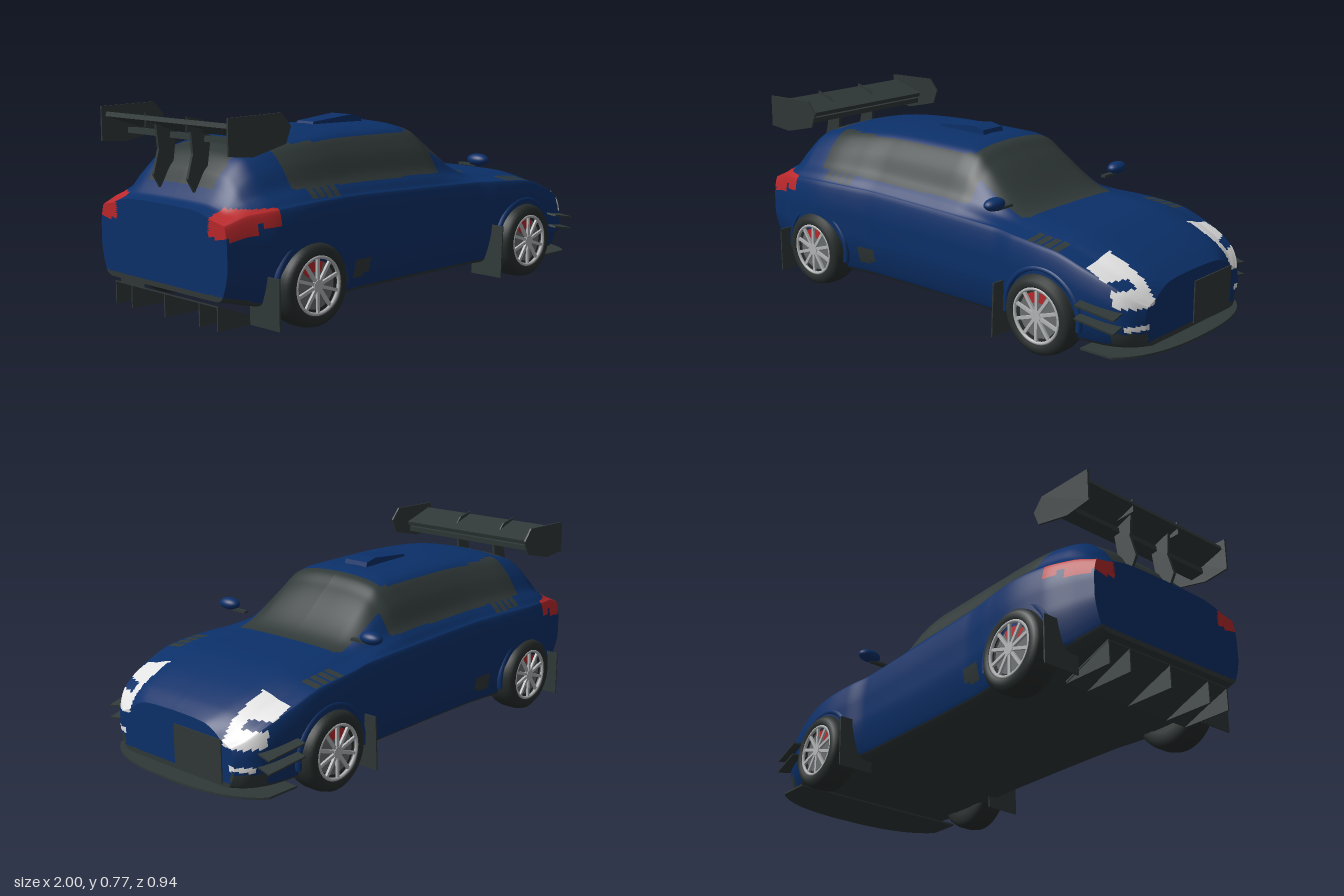
import * as THREE from 'three';

const mat = (name, color, side = THREE.FrontSide) => {
  const m = new THREE.MeshStandardMaterial({ color, side });
  m.name = name;
  return m;
};

// Smooth monotone interpolation through [x, value] pairs
function curve(pts) {
  const n = pts.length, d = [];
  for (let i = 0; i < n - 1; i++) d.push((pts[i + 1][1] - pts[i][1]) / (pts[i + 1][0] - pts[i][0]));
  const m = pts.map((_, i) => {
    if (i === 0) return d[0];
    if (i === n - 1) return d[n - 2];
    return d[i - 1] * d[i] <= 0 ? 0 : (2 * d[i - 1] * d[i]) / (d[i - 1] + d[i]);
  });
  return x => {
    let i = 0;
    while (i < n - 2 && x > pts[i + 1][0]) i++;
    const h = pts[i + 1][0] - pts[i][0], t = (x - pts[i][0]) / h, t2 = t * t, t3 = t2 * t;
    return (2 * t3 - 3 * t2 + 1) * pts[i][1] + (t3 - 2 * t2 + t) * h * m[i]
      + (3 * t2 - 2 * t3) * pts[i + 1][1] + (t3 - t2) * h * m[i + 1];
  };
}
const indexed = a => curve(a.map((v, i) => [i, v]));

// Body curves along the length: half width, underside, beltline and centre top
const width = curve([[-1, .37], [-.92, .39], [-.8, .425], [-.65, .438], [-.5, .425], [-.35, .408], [0, .402],
  [.3, .402], [.42, .42], [.57, .43], [.7, .425], [.8, .41], [.88, .385], [.92, .355], [.95, .31]]);
const under = curve([[-1, .13], [-.8, .088], [-.6, .078], [.8, .075], [.95, .085]]);
const belt = curve([[-1, .40], [-.9, .43], [-.6, .45], [0, .435], [.4, .42], [.6, .405], [.75, .36], [.88, .3], [.95, .24]]);
const top = curve([[-1, .44], [-.95, .452], [-.915, .5], [-.88, .56], [-.8, .625], [-.6, .662], [-.3, .68], [0, .678],
  [.08, .664], [.14, .62], [.37, .458], [.45, .452], [.6, .44], [.75, .402], [.88, .35], [.95, .31]]);
// Normalised half section, from bottom centre to top centre
const secZ = indexed([0, .8, .9, .95, 1, 1, .95, .88, .8, .68, .51, .25, 0]);
const secLow = indexed([0, 0, .03, .15, .45, .7, 1, 1, 1, 1, 1, 1, 1]);
const secUp = indexed([0, 0, 0, 0, 0, 0, 0, .12, .26, .62, .9, .98, 1]);

function bodyPoint(x, v) {
  const a = Math.abs(v) * 12, b = under(x), s = belt(x);
  return [x, b + secLow(a) * (s - b) + secUp(a) * (top(x) - s), Math.sign(v) * secZ(a) * width(x)];
}

// Surface grid whose faces are sorted into colour groups by position
function grid(fn, nu, nv, classify, count) {
  const pos = [], lists = Array.from({ length: count }, () => []);
  for (let i = 0; i <= nu; i++) for (let j = 0; j <= nv; j++) pos.push(...fn(i / nu, j / nv * 2 - 1));
  for (let i = 0; i < nu; i++) for (let j = 0; j < nv; j++) {
    const a = i * (nv + 1) + j, b = a + nv + 1;
    const mid = [0, 1, 2].map(k => (pos[a * 3 + k] + pos[b * 3 + 3 + k]) / 2);
    lists[classify(...mid)].push(a, b, b + 1, a, b + 1, a + 1);
  }
  const g = new THREE.BufferGeometry();
  g.setAttribute('position', new THREE.Float32BufferAttribute(pos, 3));
  g.setIndex(lists.flat());
  let start = 0;
  lists.forEach((l, k) => { g.addGroup(start, l.length, k); start += l.length; });
  g.computeVertexNormals();
  return g;
}

// Painted regions: 0 paint, 1 dark trim and glass, 2 lamp, 3 tail lamp
const within = (v, a, b) => v > a && v < b;
const slats = (x, x0) => within(x, x0, x0 + .145) && (x - x0) % .04 < .027;
function paint(x, y, zz) {
  const z = Math.abs(zz);
  if (y < under(x) + .02) return 1;
  if (within(x, .06, .375) && y > .448 && z < .27) return 1; // windshield
  if (within(x, -.69, .13) && within(y, .485 - .022 * (x + .3), .64) && z > .2) return 1; // side glass
  if (within(x, -.92, -.75) && y > .5 && z < .19) return 1; // rear glass
  if (slats(x, .48) && y > .38 && within(z, .33, .405)) return 1;
  if (slats(x, -.63) && y > .455 && within(z, .33, .4)) return 1;
  if (within(x, -.42, -.335) && within(y, .145, .205) && z > .3) return 1;
  if (x > .85 && y < .145 && within(z, .29, .39)) return 1;
  if (x > .85 && within(y, .153, .172) && within(z, .285, .37)) return 2;
  if (x > .75 && within(z, .255, .39) && within(y, .238, .4)) {
    return within(y, .298, .325) && z > .3 && x < .93 ? 0 : 2;
  }
  if (x < -.8 && within(y, x < -.88 ? .35 : .39, .445) && z > .27) return 3;
  return 0;
}

function prism(points, depth) { // polygon in x/y, centred on z
  const s = new THREE.Shape(points.map(p => new THREE.Vector2(...p)));
  return new THREE.ExtrudeGeometry(s, { depth, bevelEnabled: false }).translate(0, 0, -depth / 2);
}

export function createModel() {
  const blue = mat('blue paint', 0x0b3069), dark = mat('dark trim', 0x303838);
  const white = mat('lamp white', 0xe2e2e2), red = mat('red', 0xb8282b);
  const silver = mat('wheel silver', 0xb4b6b8), tyre = mat('tyre rubber', 0x282e2d);
  const disc = mat('brake grey', 0x6a6e70);
  const car = new THREE.Group();
  car.name = 'car';
  const add = (name, geo, material, x = 0, y = 0, z = 0, parent = car) => {
    const m = new THREE.Mesh(geo, material);
    m.name = name;
    m.position.set(x, y, z);
    parent.add(m);
    return m;
  };
  const box = (x, y, z) => new THREE.BoxGeometry(x, y, z);

  // Body shell and flat ends
  const coats = [blue, dark, white, red];
  add('body', grid((u, v) => bodyPoint(-1 + 1.95 * u, v), 200, 156, paint, 4), coats);
  const cap = (x, front) => grid((u, v) => {
    const s = front ? 1 - u : u, p = bodyPoint(x, v), c = (under(x) + top(x)) / 2;
    return [x, c + (p[1] - c) * s, p[2] * s];
  }, 24, 156, paint, 4);
  add('nosePanel', cap(.95, true), coats);
  add('tailPanel', cap(-1, false), coats);
  add('grille', box(.008, .165, .25), dark, .951, .178, -.125);

  // Roof scoop, wider at the front
  const scoop = prism([[-.3, .66], [-.03, .66], [-.04, .695], [-.09, .706], [-.29, .688]], .11);
  const sp = scoop.attributes.position;
  for (let i = 0; i < sp.count; i++) sp.setZ(i, sp.getZ(i) * (1 + (sp.getX(i) + .1) * .9));
  scoop.computeVertexNormals();
  add('roofScoop', scoop, blue);

  // Front splitter
  const sh = new THREE.Shape();
  sh.moveTo(.74, -.41);
  sh.lineTo(.88, -.41);
  sh.bezierCurveTo(.97, -.33, 1, -.2, 1, 0);
  sh.bezierCurveTo(1, .2, .97, .33, .88, .41);
  sh.lineTo(.74, .41);
  const split = new THREE.ExtrudeGeometry(sh, { depth: .008, bevelEnabled: false, curveSegments: 16 });
  add('frontSplitter', split.rotateX(Math.PI / 2), dark, 0, .066, 0);

  // Rear diffuser
  add('diffuserRamp', prism([[-.78, .025], [-.78, .031], [-.99, .113], [-.99, .107]], .61), dark);
  for (const z of [-.3, -.2, 0, .2, .3]) {
    add('diffuserFin', prism([[-.99, .11], [-.99, .022], [-.78, .022]], .006), dark, 0, 0, z);
  }

  // Rear wing
  add('wingBlade', box(.16, .018, .73), dark, -.895, .712, 0).rotation.z = -.3;
  add('wingLip', box(.06, .022, .71), dark, -.85, .667, 0).rotation.z = -.1;
  for (const s of [-1, 1]) {
    add('wingEndPlate', prism([[-.99, .765], [-.75, .77], [-.706, .72], [-.73, .66], [-.88, .625], [-.99, .635]], .008),
      dark, 0, 0, s * .368);
    add('wingStrut', prism([[-.85, .68], [-.94, .71], [-.93, .62], [-.955, .53], [-.92, .47], [-.87, .54]], .012),
      dark, 0, 0, s * .1);
    add('wingFin', prism([[-.97, .755], [-.9, .74], [-.86, .7], [-.97, .7]], .006), dark, 0, 0, s * .12);
  }

  // Wheel pieces, facing +z
  const tyreGeo = new THREE.LatheGeometry([[.1, -.065], [.135, -.065], [.15, -.05], [.156, -.025], [.156, .025],
    [.15, .05], [.135, .063], [.112, .065], [.106, .055], [.106, .03]].map(p => new THREE.Vector2(...p)), 48).rotateX(Math.PI / 2);
  const drum = (r, h) => new THREE.CylinderGeometry(r, r, h, 40).rotateX(Math.PI / 2);
  const caliper = new THREE.RingGeometry(.05, .088, 12, 1, Math.PI * .36, Math.PI * .42);
  function wheel(name, x, side) {
    const w = new THREE.Group();
    w.name = name;
    w.position.set(x, .156, side * .395);
    if (side < 0) w.scale.z = -1;
    car.add(w);
    add('tyre', tyreGeo, tyre, 0, 0, 0, w);
    add('wheelBack', drum(.108, .1), tyre, 0, 0, -.01, w);
    add('brakeDisc', drum(.088, .006), disc, 0, 0, .042, w);
    add('brakeCaliper', caliper, red, 0, 0, .047, w);
    add('rim', new THREE.TorusGeometry(.103, .007, 8, 48), silver, 0, 0, .056, w);
    add('hub', drum(.022, .014), silver, 0, 0, .055, w);
    for (let i = 0; i < 10; i++) {
      const a = (i + .5) * Math.PI / 5;
      add('spoke', box(.09, .012, .01), silver, Math.cos(a) * .058, Math.sin(a) * .058, .055, w).rotation.z = a;
    }
  }

  for (const s of [1, -1]) {
    const side = s > 0 ? 'left' : 'right';
    // The car points along +x, so its wheels sit on either side in z
    for (const [end, x] of [['front', .57], ['rear', -.655]]) {
      wheel(`${end}Wheel`, x, s);
      add('wheelArch', new THREE.TorusGeometry(.172, .012, 8, 40, Math.PI * 1.1), blue, x, .156, s * .42).rotation.z = -Math.PI * .05;
    }
    // Mud flaps
    add('frontMudFlap', box(.006, .215, .155), dark, .372, .135, s * .39).rotation.z = -.04;
    add('rearMudFlap', box(.006, .185, .155), dark, -.85, .118, s * .39);
    // Nose canards
    for (const y of [.185, .235]) {
      const c = add('canard', box(.16, .007, .1), dark, .82, y, s * .4);
      c.rotation.set(s * .15, s * .12, -.2);
    }
    // Door mirrors
    const m = add(`${side === 'left' ? 'near' : 'far'}Mirror`, new THREE.SphereGeometry(1, 24, 16), blue, .31, .516, s * .385);
    m.scale.set(.032, .025, .05);
    add('mirrorArm', box(.02, .01, .09), dark, .31, .495, s * .335);
  }
  return car;
}
